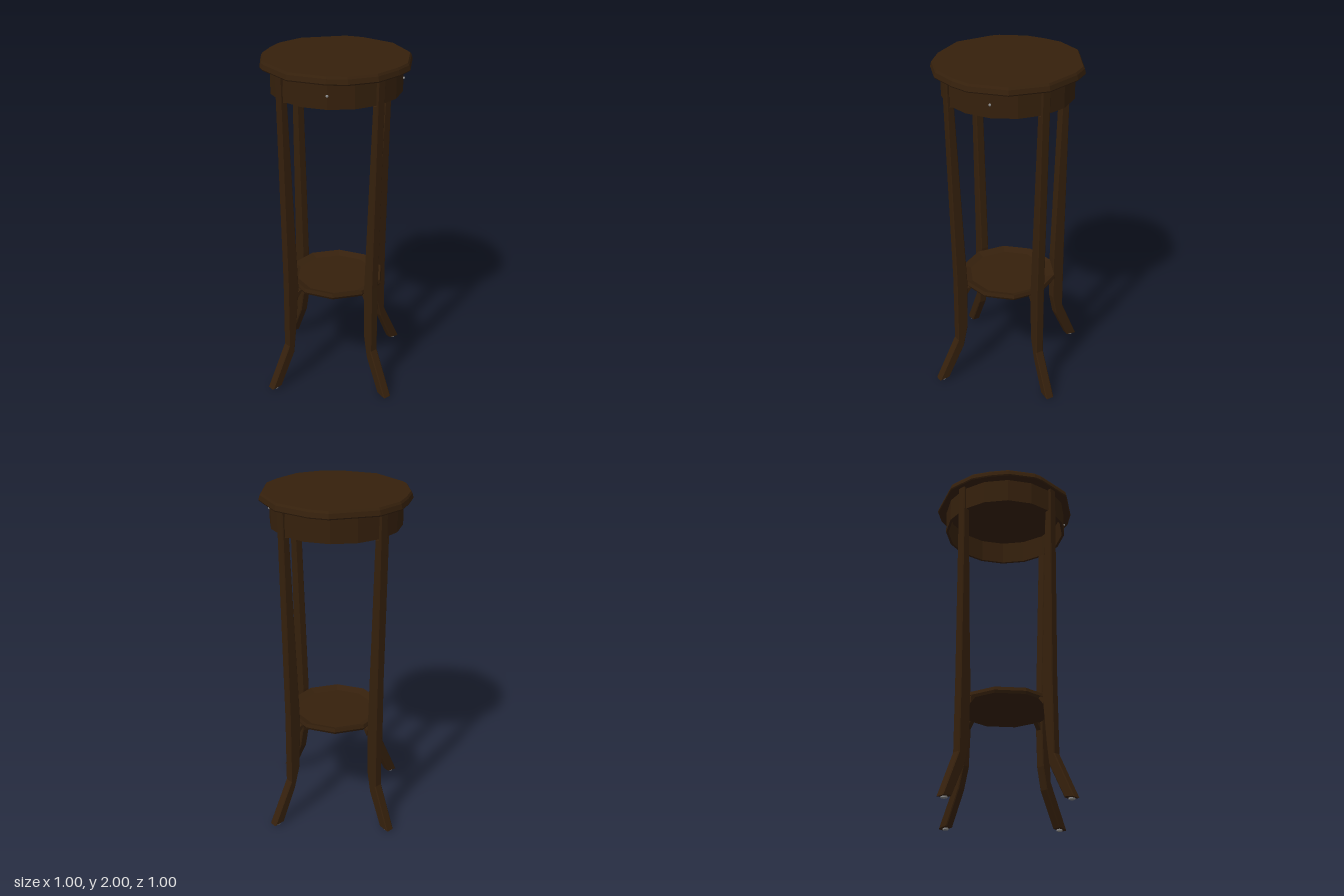
import * as THREE from 'three';

const wood = new THREE.MeshStandardMaterial({ color: 0x35200c, flatShading: true });
wood.name = 'dark wood';
const metal = new THREE.MeshStandardMaterial({ color: 0x8a8a8a });
metal.name = 'grey metal';

// Stack an outline [x, z] through profile steps [y, scale]; the profile runs outside upwards
function stack(outline, profile) {
  const pos = [], n = outline.length;
  const at = (i, j) => {
    const [x, z] = outline[i % n], [y, s] = profile[j];
    return [x * s, y, z * s];
  };
  for (let j = 0; j < profile.length - 1; j++) {
    for (let i = 0; i < n; i++) {
      const a = at(i, j), b = at(i, j + 1), c = at(i + 1, j), d = at(i + 1, j + 1);
      if (profile[j][1] > 0) pos.push(...a, ...b, ...c);
      if (profile[j + 1][1] > 0) pos.push(...c, ...b, ...d);
    }
  }
  const g = new THREE.BufferGeometry();
  g.setAttribute('position', new THREE.Float32BufferAttribute(pos, 3));
  g.computeVertexNormals();
  return g;
}

function ring(n, r, phase = 0) {
  return Array.from({ length: n }, (_, i) => {
    const a = (i / n) * Math.PI * 2 + phase;
    return [Math.cos(a) * r, Math.sin(a) * r];
  });
}

function add(parent, name, geometry, material) {
  const m = new THREE.Mesh(geometry, material);
  m.name = name;
  parent.add(m);
  return m;
}

// Extrude a side profile [x, y] to a centred width, with chamfered edges
function slab(points, width, bevel) {
  const shape = new THREE.Shape(points.map(([x, y]) => new THREE.Vector2(x, y)));
  const g = new THREE.ExtrudeGeometry(shape, {
    depth: width - 2 * bevel, bevelEnabled: bevel > 0, bevelThickness: bevel,
    bevelSize: bevel, bevelOffset: -bevel, bevelSegments: 1,
  });
  g.translate(0, 0, bevel - width / 2);
  return g;
}

export function createModel() {
  const group = new THREE.Group();

  // Worn, hand-cut round top
  const outline = [[0, -0.425], [0.215, -0.37], [0.37, -0.215], [0.405, -0.11], [0.425, 0.05],
    [0.37, 0.21], [0.295, 0.295], [0.11, 0.412], [-0.12, 0.407], [-0.165, 0.395], [-0.30, 0.30],
    [-0.365, 0.205], [-0.415, 0.105], [-0.425, -0.06], [-0.30, -0.305], [-0.21, -0.365]];
  add(group, 'tableTop', stack(outline,
    [[1.955, 0], [1.955, 0.99], [1.962, 1], [1.988, 0.985], [2, 0.965], [2, 0]]), wood);

  // Hollow apron under the top
  add(group, 'apron', stack(ring(16, 0.372),
    [[1.81, 1], [1.957, 1], [1.957, 0.96], [1.81, 0.96], [1.81, 1]]), wood);

  // Lower shelf with a shallow dish
  add(group, 'shelf', stack(ring(10, 0.288, 0.1),
    [[0.615, 0], [0.615, 0.97], [0.63, 1], [0.651, 0.98], [0.634, 0.82], [0.632, 0]]), wood);

  // Four splayed legs: shaft outer edge, shaft inner edge, inner edge at the bend, at the ankle
  const legs = [
    ['leftLeg', 0.367, 0.294, 0.301, 0.33],
    ['frontLeg', 0.374, 0.297, 0.322, 0.337],
    ['rightLeg', 0.388, 0.311, 0.314, 0.342],
    ['backLeg', 0.372, 0.295, 0.308, 0.345],
  ];
  legs.forEach(([name, outer, inner, bend, ankle], i) => {
    const leg = new THREE.Group();
    leg.name = name;
    leg.rotation.y = -i * Math.PI / 2;
    // Post, notched at the top to sit against the apron
    add(leg, 'legPost', slab([
      [0.437, 0.012], [0.502, 0.005], [outer + 0.002, 0.27], [outer, 0.7], [0.394, 1.957],
      [0.374, 1.957], [0.374, 1.812], [0.348, 1.806], [inner, 0.65], [bend, 0.35], [ankle, 0.215],
    ], 0.051, 0.005), wood);
    // Bracket under the shelf
    add(leg, 'shelfBracket', slab(
      [[0.26, 0.622], [0.296, 0.576], [0.298, 0.612], [0.285, 0.622]], 0.03, 0), wood);
    // Small glide under the foot
    const glide = add(leg, 'footGlide', new THREE.CylinderGeometry(0.018, 0.018, 0.012, 8), metal);
    glide.position.set(0.469, 0.006, 0);
    group.add(leg);
  });

  // Tiny pins on the apron
  for (const side of [1, -1]) {
    const pin = add(group, 'apronPin', new THREE.SphereGeometry(0.008, 8, 6), metal);
    pin.position.set(0.264, 1.885, side * 0.264);
  }
  return group;
}
